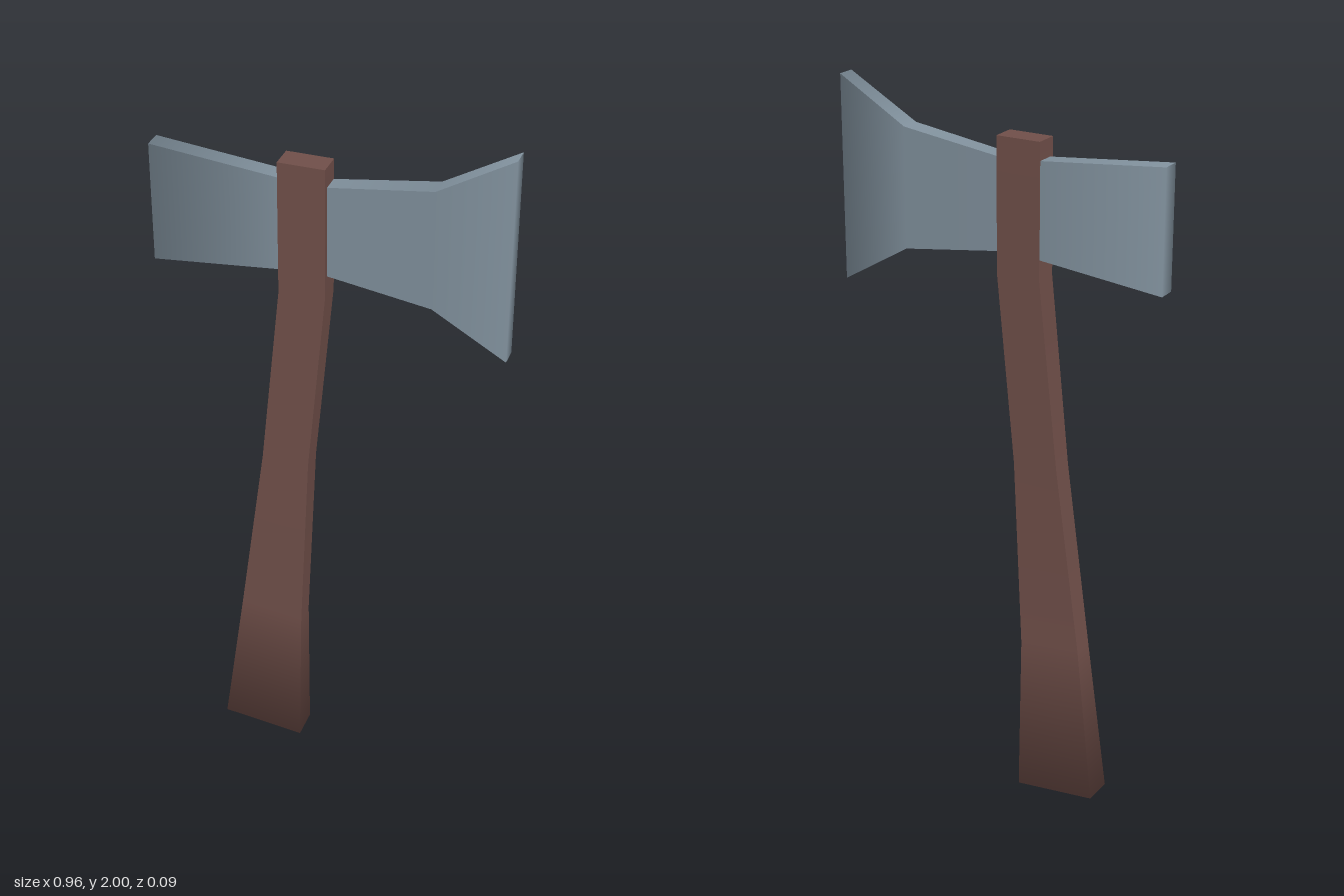
import * as THREE from 'three';

const wood = new THREE.MeshStandardMaterial({ color: 0x704f49 });
wood.name = 'brown wood';
const steel = new THREE.MeshStandardMaterial({ color: 0x80909c });
steel.name = 'grey steel';

// Four-sided loft. Each section lists its corners: front right, front left,
// back left, back right, as seen when travelling along the loft.
// Long edges stay sharp; the far end is softly rounded into the sides.
function loft(name, sections, material) {
  const positions = [], normals = [], index = [];

  // Smooth strip through pairs of points, optionally leaving one quad open
  function ribbon(pairs, skip = -1) {
    const base = positions.length / 3;
    const sums = pairs.map(() => new THREE.Vector3());
    for (let i = 0; i < pairs.length - 1; i++) {
      const [a, b] = pairs[i], [c, d] = pairs[i + 1];
      const n = d.clone().sub(a).cross(b.clone().sub(c)).normalize();
      sums[i].add(n);
      sums[i + 1].add(n);
      if (i === skip) continue;
      const k = base + i * 2;
      index.push(k, k + 2, k + 3, k, k + 3, k + 1);
    }
    pairs.forEach((pair, i) => {
      const n = sums[i].normalize();
      for (const p of pair) {
        positions.push(p.x, p.y, p.z);
        normals.push(n.x, n.y, n.z);
      }
    });
  }

  const last = sections.length - 1;
  const back = [...sections].reverse();
  // Wide faces joined round the far end
  ribbon([...sections.map(s => [s[0], s[1]]), ...back.map(s => [s[3], s[2]])]);
  // Narrow sides; the end cap is already there
  ribbon([...sections.map(s => [s[1], s[2]]), ...back.map(s => [s[0], s[3]])], last);
  // Flat cap at the start
  const s = sections[0];
  ribbon([[s[3], s[2]], [s[0], s[1]]]);

  const geometry = new THREE.BufferGeometry();
  geometry.setAttribute('position', new THREE.Float32BufferAttribute(positions, 3));
  geometry.setAttribute('normal', new THREE.Float32BufferAttribute(normals, 3));
  geometry.setIndex(index);
  const mesh = new THREE.Mesh(geometry, material);
  mesh.name = name;
  return mesh;
}

// Section from two outline points and its front and back depth
function section(x0, y0, x1, y1, front, back) {
  return [
    new THREE.Vector3(x0, y0, front), new THREE.Vector3(x1, y1, front),
    new THREE.Vector3(x1, y1, back), new THREE.Vector3(x0, y0, back),
  ];
}

export function createModel() {
  const group = new THREE.Group();
  group.name = 'axe';

  // Curved haft, from the top down to the flared grip
  group.add(loft('handle', [
    section(-0.127, 1.9, 0, 1.9, 0.035, -0.032),
    section(-0.127, 1.53, 0, 1.53, 0.038, -0.03),
    section(-0.18, 1.0, -0.048, 1.0, 0.042, -0.022),
    section(-0.252, 0.47, -0.072, 0.45, 0.043, -0.019),
    section(-0.315, 0.025, -0.08, 0.0, 0.043, -0.044),
  ], wood));

  // Blade flaring out towards the cutting edge
  group.add(loft('blade', [
    section(-0.06, 1.6, -0.06, 1.838, 0.02, -0.028),
    section(0, 1.592, 0, 1.845, 0.021, -0.029),
    section(0.28, 1.553, 0.28, 1.885, 0.024, -0.033),
    section(0.48, 1.435, 0.48, 2.0, 0.021, -0.03),
  ], steel));

  // Blunt poll on the other side
  group.add(loft('poll', [
    section(-0.06, 1.843, -0.06, 1.595, 0.02, -0.028),
    section(-0.127, 1.85, -0.127, 1.588, 0.021, -0.029),
    section(-0.48, 1.885, -0.48, 1.552, 0.021, -0.03),
  ], steel));

  return group;
}
